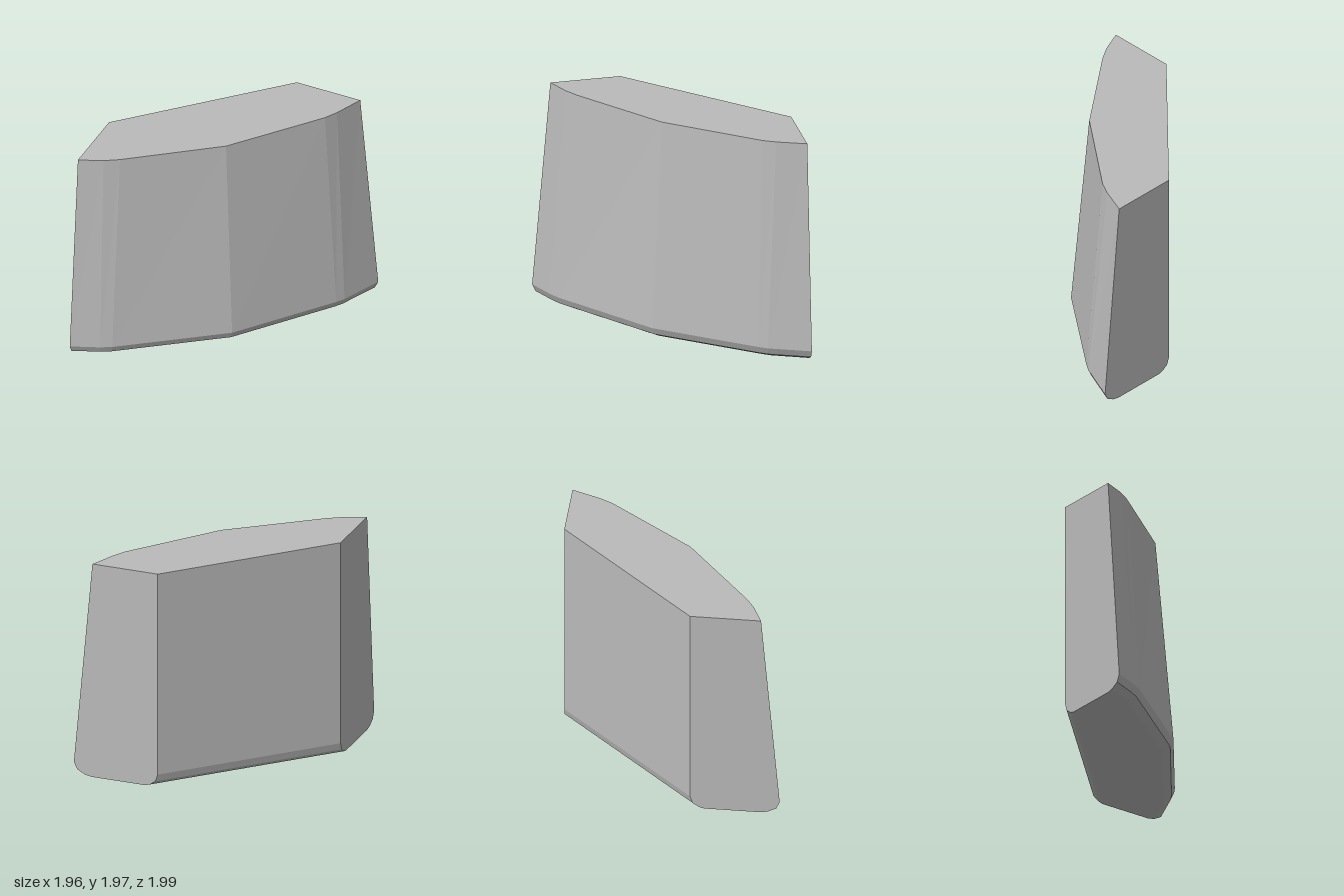
import * as THREE from 'three';

// Corners, counterclockwise from above: top x,z / widest x,z / inward direction x,z at the base
const corners = [
  [-0.98, 0.22, -0.98, 0.22, 0, 0.8],
  [-0.98, 0.83, -0.98, 0.99, 0, -1.08],
  [-0.78, 0.745, -0.74, 0.89, -0.43, -0.9],
  [-0.66, 0.67, -0.65, 0.84, -0.54, -0.85],
  [0.07, 0.1, 0.18, 0.21, -0.71, -0.72],
  [0.65, -0.64, 0.785, -0.58, -0.83, -0.56],
  [0.71, -0.75, 0.83, -0.65, -0.88, -0.47],
  [0.81, -1, 0.98, -1, -1.08, 0],
  [0.21, -1, 0.21, -1, 0.8, 0],
];

// Rounded lower edge: height and inset, from the bottom up
const edge = [[0, 0.15], [0.012, 0.095], [0.05, 0.028], [0.115, 0]];

const baseRing = ([y, d]) => corners.map(c => [c[2] + c[4] * d, y, c[3] + c[5] * d]);

// Faceted skin through a stack of rings
function wall(rings) {
  const p = [];
  for (let r = 0; r < rings.length - 1; r++) {
    const lo = rings[r], hi = rings[r + 1];
    lo.forEach((a, i) => {
      const j = (i + 1) % lo.length;
      p.push(...a, ...lo[j], ...hi[j], ...a, ...hi[j], ...hi[i]);
    });
  }
  return p;
}

// Flat cap over a convex ring
function cap(ring, down) {
  const p = [];
  for (let i = 1; i < ring.length - 1; i++) {
    const [b, c] = down ? [ring[i + 1], ring[i]] : [ring[i], ring[i + 1]];
    p.push(...ring[0], ...b, ...c);
  }
  return p;
}

export function createModel() {
  const group = new THREE.Group();
  group.name = 'taperedBlock';
  const grey = new THREE.MeshStandardMaterial({ color: 0xbababa });
  grey.name = 'light grey';

  const add = (name, positions) => {
    const g = new THREE.BufferGeometry();
    g.setAttribute('position', new THREE.Float32BufferAttribute(positions, 3));
    g.computeVertexNormals();
    const mesh = new THREE.Mesh(g, grey);
    mesh.name = name;
    group.add(mesh);
  };

  const base = edge.map(baseRing);
  const top = corners.map(c => [c[0], 1.97, c[1]]);
  add('sides', wall([base[3], top]));
  add('topFace', cap(top, false));
  add('roundedLowerEdge', wall(base));
  add('underside', cap(base[0], true));
  return group;
}
